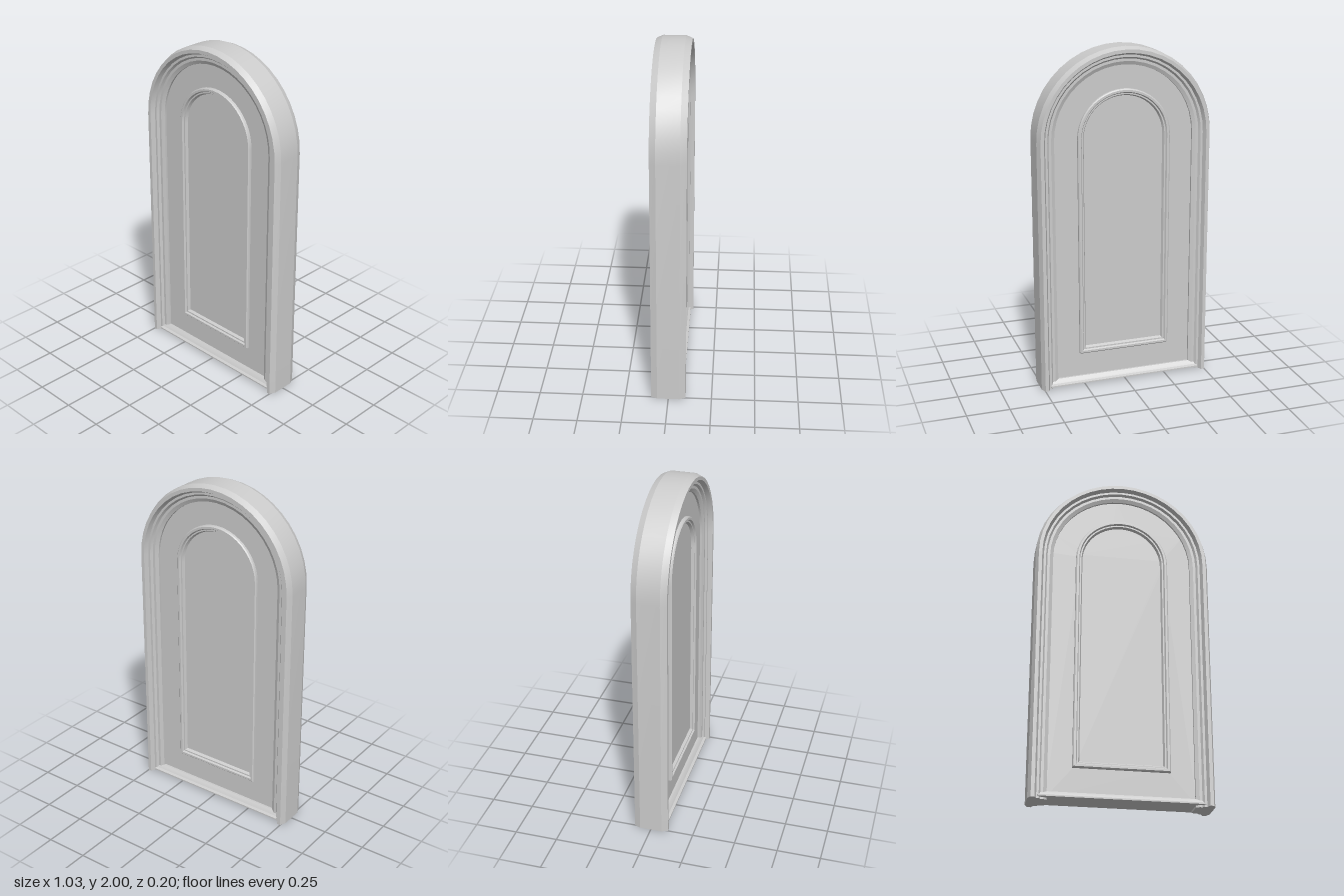
import * as THREE from 'three';
import { toCreasedNormals } from 'three/addons/utils/BufferGeometryUtils.js';

const SPRING = 1.485; // height where the arch starts
const ARC = 22;
const material = new THREE.MeshStandardMaterial({ color: 0xcccccc });

// Stations of an arched path: centre (0, y) and outward direction
function archStations() {
  const stations = [];
  for (let i = 0; i <= ARC; i++) {
    const a = (i / ARC) * Math.PI;
    stations.push([SPRING, Math.cos(a), Math.sin(a)]);
  }
  return stations;
}

// Half profile (radius, z) from outside to inside, mirrored to the back as a closed loop
function mirrorProfile(half) {
  return [...half, ...half.map(([r, z]) => [r, -z]).reverse()];
}

// Sweep a closed profile through the stations
function sweep(profile, stations, closed) {
  const pos = [], index = [];
  const n = profile.length, m = stations.length;
  for (const [cy, dx, dy] of stations)
    for (const [r, z] of profile) pos.push(dx * r, cy + dy * r, z);
  for (let i = 0; i < (closed ? m : m - 1); i++) {
    for (let j = 0; j < n; j++) {
      const k = (j + 1) % n, i2 = (i + 1) % m;
      const a = i * n + j, b = i * n + k, c = i2 * n + k, d = i2 * n + j;
      index.push(a, d, b, b, d, c);
    }
  }
  // Flat caps on the open ends
  if (!closed) {
    const faces = THREE.ShapeUtils.triangulateShape(profile.map(([r, z]) => new THREE.Vector2(r, z)), []);
    const last = (m - 1) * n;
    const p = profile.map(([r, z]) => new THREE.Vector2(r, z));
    for (let [a, b, c] of faces) {
      const cross = (p[b].x - p[a].x) * (p[c].y - p[a].y) - (p[b].y - p[a].y) * (p[c].x - p[a].x);
      if (cross < 0) [b, c] = [c, b];
      // Both ends face down: the far end has its radius direction reversed
      index.push(a, b, c, last + a, last + c, last + b);
    }
  }
  const g = new THREE.BufferGeometry();
  g.setAttribute('position', new THREE.Float32BufferAttribute(pos, 3));
  g.setIndex(index);
  return toCreasedNormals(g, 0.35);
}

// Arched outline with a straight bottom
function archOutline(PathType, r, bottom) {
  const path = new PathType();
  path.moveTo(-r, bottom);
  path.lineTo(r, bottom);
  path.lineTo(r, SPRING);
  path.absarc(0, SPRING, r, 0, Math.PI, false);
  path.lineTo(-r, bottom);
  return path;
}

function slab(shape, halfDepth) {
  const g = new THREE.ExtrudeGeometry(shape, { depth: halfDepth * 2, bevelEnabled: false, curveSegments: ARC });
  g.translate(0, 0, -halfDepth);
  return toCreasedNormals(g, 0.35);
}

export function createModel() {
  const group = new THREE.Group();
  const add = (name, geometry) => {
    const mesh = new THREE.Mesh(geometry, material);
    mesh.name = name;
    group.add(mesh);
  };

  // Stepped frame, alike on both faces
  const frame = mirrorProfile([
    [0.515, 0.065], [0.5, 0.1], [0.48, 0.1], [0.468, 0.075],
    [0.455, 0.075], [0.445, 0.062], [0.43, 0.062], [0.41, 0.052], [0.41, 0.02],
  ]);
  add('frame', sweep(frame, [[0, 1, 0], ...archStations(), [0, -1, 0]], false));

  // Door leaf with an arched opening
  const leaf = archOutline(THREE.Shape, 0.42, 0.012);
  leaf.holes.push(archOutline(THREE.Path, 0.245, 0.22));
  add('doorLeaf', slab(leaf, 0.04));
  add('insetPanel', slab(archOutline(THREE.Shape, 0.255, 0.21), 0.034));

  // Raised moulding around the panel, mitred at its bottom corners
  const moulding = mirrorProfile([
    [0.274, 0.03], [0.274, 0.054], [0.268, 0.06], [0.256, 0.06],
    [0.25, 0.05], [0.242, 0.05], [0.234, 0.034], [0.234, 0.02],
  ]);
  const bottomCentre = 0.465;
  add('panelMoulding', sweep(moulding,
    [[bottomCentre, 1, -1], ...archStations(), [bottomCentre, -1, -1]], true));

  // Sloped sill between the jambs, on both faces
  const sillHalf = [[0.012, 0.085], [0.02, 0.085], [0.026, 0.07], [0.038, 0.062], [0.048, 0.052], [0.048, 0.03]];
  const sillShape = new THREE.Shape(mirrorProfile(sillHalf).map(([y, z]) => new THREE.Vector2(z, y)));
  const sill = new THREE.ExtrudeGeometry(sillShape, { depth: 0.92, bevelEnabled: false });
  sill.translate(0, 0, -0.46);
  sill.rotateY(Math.PI / 2);
  add('sill', toCreasedNormals(sill, 0.35));

  return group;
}
